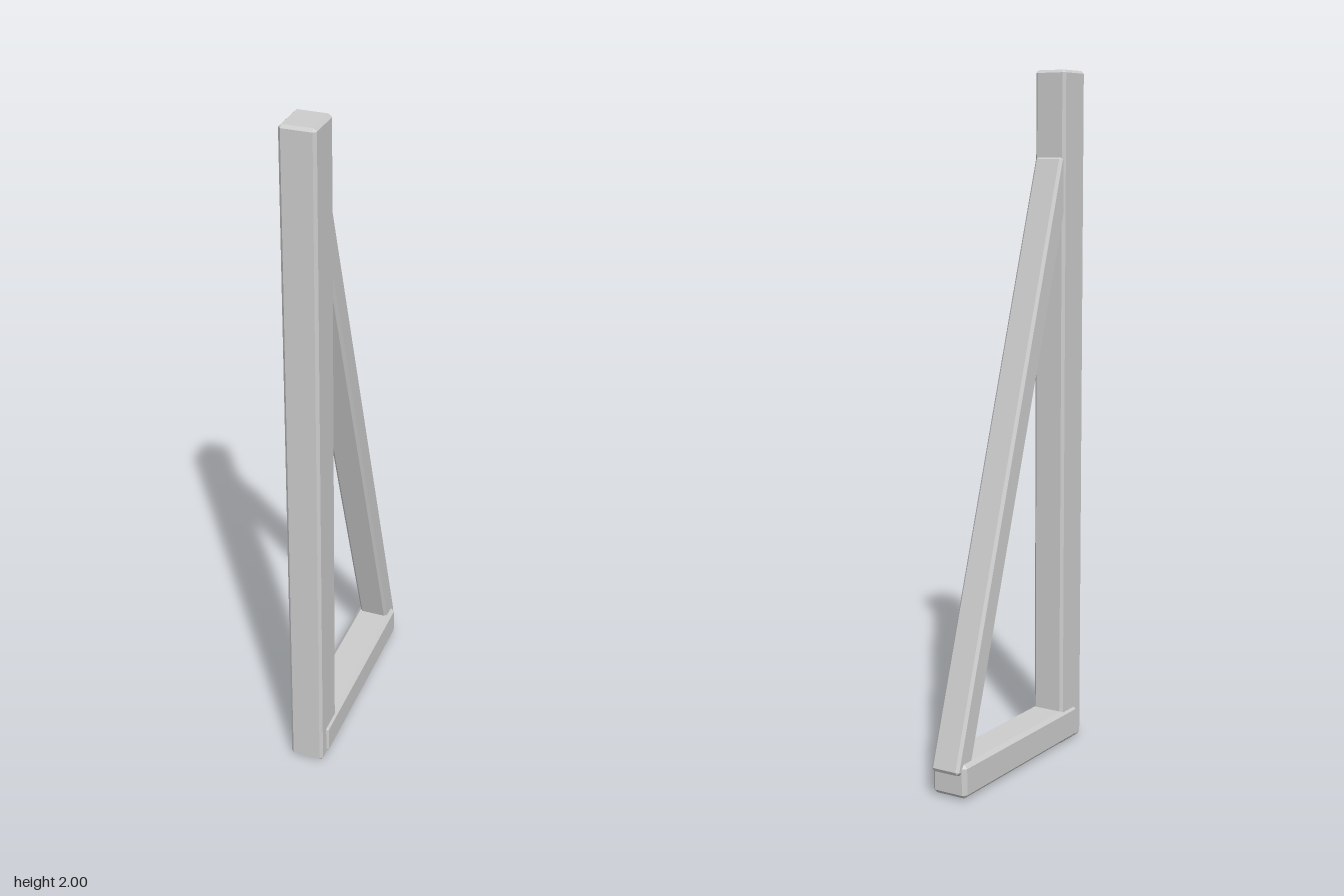
import * as THREE from 'three';
import { ConvexGeometry } from 'three/addons/geometries/ConvexGeometry.js';

// Box with every edge and corner cut by c
function chamferedBox(w, h, d, c) {
  const points = [];
  for (const x of [-1, 1]) for (const y of [-1, 1]) for (const z of [-1, 1]) {
    for (let axis = 0; axis < 3; axis++) {
      const inset = [c, c, c];
      inset[axis] = 0;
      points.push(new THREE.Vector3(
        x * (w / 2 - inset[0]), y * (h / 2 - inset[1]), z * (d / 2 - inset[2])));
    }
  }
  return new ConvexGeometry(points);
}

export function createModel() {
  const model = new THREE.Group();
  model.name = 'bracedPost';
  const grey = new THREE.MeshStandardMaterial({ color: 0xcccccc });
  grey.name = 'light grey';

  function addBeam(name, size, chamfer, y, z, tilt = 0) {
    const beam = new THREE.Mesh(chamferedBox(...size, chamfer), grey);
    beam.name = name;
    beam.position.set(0, y, z);
    beam.rotation.x = tilt;
    model.add(beam);
  }

  // Upright at the front
  addBeam('post', [0.099, 2, 0.117], 0.008, 1, 0.2795);
  // Foot running backwards along the ground
  addBeam('foot', [0.112, 0.098, 0.621], 0.011, 0.053, -0.0045);
  // Diagonal from the back of the foot to the upper post
  addBeam('brace', [0.09, 1.767, 0.068], 0.008, 0.907, -0.029, 0.318);

  return model;
}
